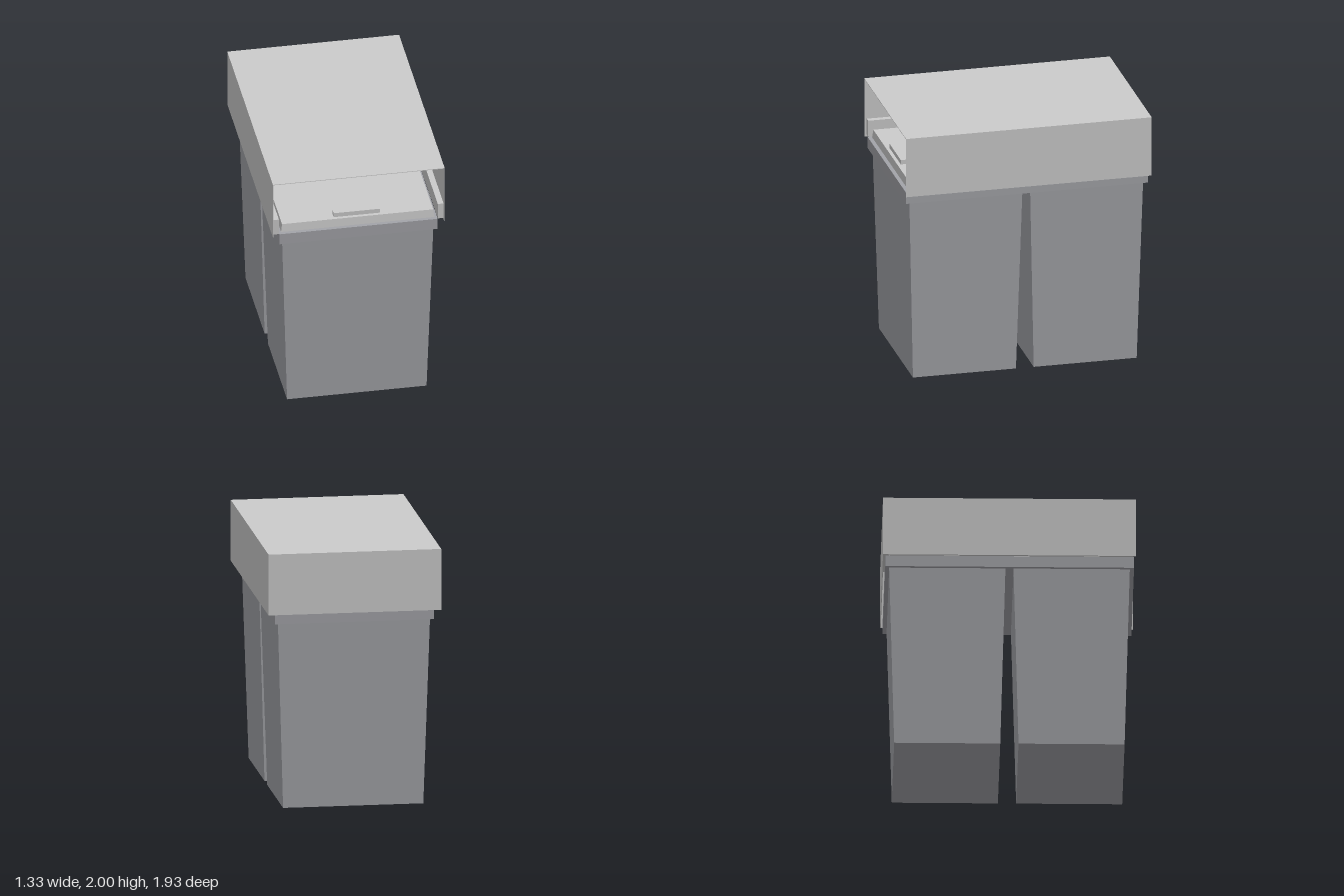
import * as THREE from 'three';

const grey = new THREE.MeshStandardMaterial({ color: 0xcccccc, flatShading: true });
const binGrey = new THREE.MeshStandardMaterial({ color: 0xa3a4a9, flatShading: true });

// Box given by its [min, max] range on each axis
function box(name, x, y, z, material = grey) {
  const geometry = new THREE.BoxGeometry(x[1] - x[0], y[1] - y[0], z[1] - z[0]);
  const mesh = new THREE.Mesh(geometry, material);
  mesh.name = name;
  mesh.position.set((x[0] + x[1]) / 2, (y[0] + y[1]) / 2, (z[0] + z[1]) / 2);
  return mesh;
}

// Box whose top and bottom half sizes differ
function taperedBox(name, bottom, top, y0, y1, z, material) {
  const geometry = new THREE.BoxGeometry(2, y1 - y0, 2);
  const p = geometry.attributes.position;
  for (let i = 0; i < p.count; i++) {
    const half = p.getY(i) > 0 ? top : bottom;
    p.setX(i, p.getX(i) * half[0]);
    p.setZ(i, p.getZ(i) * half[1]);
  }
  geometry.computeVertexNormals();
  const mesh = new THREE.Mesh(geometry, material);
  mesh.name = name;
  mesh.position.set(0, (y0 + y1) / 2, z);
  return mesh;
}

function rectangle(path, x, z0, z1) {
  path.moveTo(-x, z0);
  path.lineTo(x, z0);
  path.lineTo(x, z1);
  path.lineTo(-x, z1);
  path.closePath();
  return path;
}

export function createModel() {
  const model = new THREE.Group();
  model.name = 'pullOutBins';

  // Thin housing, open at the front and underneath
  const housing = new THREE.Group();
  housing.name = 'housing';
  const W = 0.665, D = 0.963, t = 0.005, low = 1.525;
  housing.add(box('housingTop', [-W, W], [2 - t, 2], [-D, D]));
  housing.add(box('housingBack', [-W, W], [low, 2 - t], [-D, -D + t]));
  for (const [side, s] of [['left', 1], ['right', -1]]) {
    const span = (a, b) => [Math.min(s * a, s * b), Math.max(s * a, s * b)];
    housing.add(box(side + 'Wall', span(W - t, W), [low, 2 - t], [-D + t, D]));
    housing.add(box(side + 'Rail', span(0.615, W - t), [1.54, 1.67], [-0.945, 0.945]));
  }
  model.add(housing);

  // Carrier frame with one opening per bin
  const outline = rectangle(new THREE.Shape(), 0.613, -0.95, 0.945);
  outline.holes.push(rectangle(new THREE.Path(), 0.58, -0.915, -0.035));
  outline.holes.push(rectangle(new THREE.Path(), 0.58, 0.035, 0.91));
  const frameGeometry = new THREE.ExtrudeGeometry(outline, { depth: 0.09, bevelEnabled: false });
  frameGeometry.rotateX(-Math.PI / 2);
  const frame = new THREE.Mesh(frameGeometry, binGrey);
  frame.name = 'carrierFrame';
  frame.position.y = 1.45;
  model.add(frame);

  // Tapered bins, each with a lid and a grip
  for (const [end, z] of [['front', 0.475], ['back', -0.472]]) {
    model.add(taperedBox(end + 'Bin', [0.54, 0.404], [0.588, 0.445], 0, 1.53, z, binGrey));
    model.add(taperedBox(end + 'Lid', [0.595, 0.445], [0.585, 0.437], 1.53, 1.605, z, grey));
    model.add(box(end + 'LidGrip', [-0.18, 0.18], [1.605, 1.64], [z + 0.35, z + 0.41]));
  }
  return model;
}
